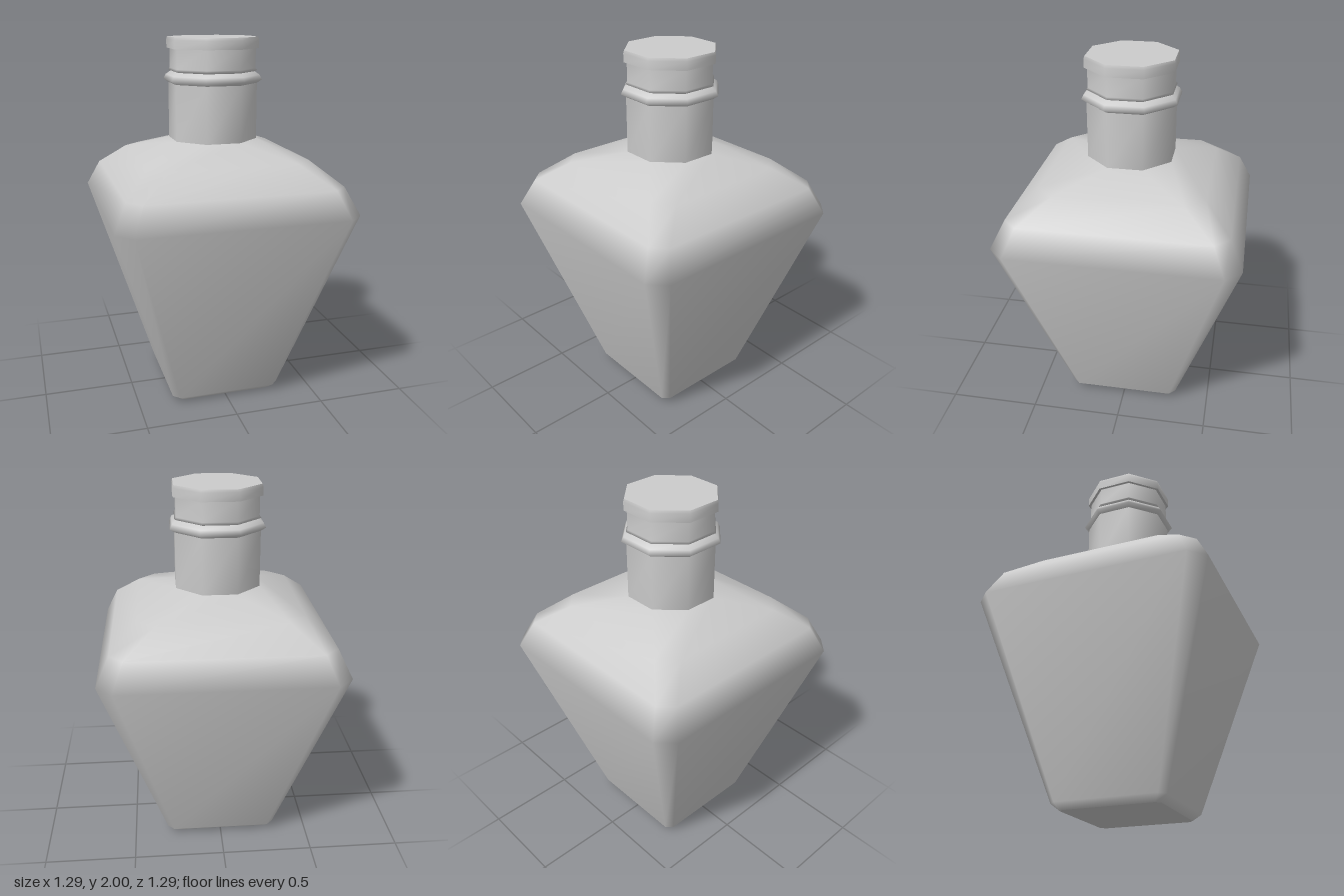
import * as THREE from 'three';

// Lofts chamfered-square rings [y, halfWidth, halfFlat]; a repeated ring makes a hard crease.
function loft(name, rings) {
  const positions = [];
  const index = [];
  for (const [y, h, a] of rings) {
    const corners = [[h, a], [a, h], [-a, h], [-h, a], [-h, -a], [-a, -h], [a, -h], [h, -a]];
    for (const [x, z] of corners) positions.push(x, y, z);
  }
  for (let r = 0; r < rings.length - 1; r++) {
    for (let i = 0; i < 8; i++) {
      const p0 = r * 8 + i;
      const p1 = r * 8 + (i + 1) % 8;
      index.push(p0, p0 + 8, p1, p1, p0 + 8, p1 + 8);
    }
  }
  const geometry = new THREE.BufferGeometry();
  geometry.setAttribute('position', new THREE.Float32BufferAttribute(positions, 3));
  geometry.setIndex(index);
  geometry.computeVertexNormals();
  const mesh = new THREE.Mesh(geometry, new THREE.MeshStandardMaterial({ color: 0xcccccc }));
  mesh.name = name;
  return mesh;
}

// Regular octagon ring
const oct = (y, h) => [y, h, h * 0.414];

export function createModel() {
  const group = new THREE.Group();
  group.name = 'bottle';

  // Tapered square body with chamfered corners and rounded shoulders
  group.add(loft('body', [
    [0, 0, 0],
    [0, 0.27, 0.245], [0, 0.27, 0.245],
    [0.035, 0.31, 0.275],
    [1.105, 0.645, 0.56],
    [1.25, 0.575, 0.5],
    [1.37, 0.435, 0.34],
    [1.455, 0.225, 0.093],
  ]));

  // Octagonal neck
  group.add(loft('neck', [oct(1.44, 0.225), oct(1.765, 0.225)]));

  // Collar bead around the neck
  group.add(loft('collar', [
    oct(1.755, 0.222), oct(1.775, 0.25), oct(1.8, 0.238), oct(1.82, 0.21),
  ]));

  // Stopper: thin lower lip, stem and flat cap
  group.add(loft('stopperStem', [
    oct(1.815, 0.205), oct(1.825, 0.225), oct(1.835, 0.217), oct(1.945, 0.217),
  ]));
  group.add(loft('stopperCap', [
    oct(1.94, 0.2), oct(1.94, 0.232), oct(1.94, 0.232),
    oct(1.985, 0.232), oct(2, 0.228), oct(2, 0.228),
    [2, 0, 0],
  ]));

  return group;
}
